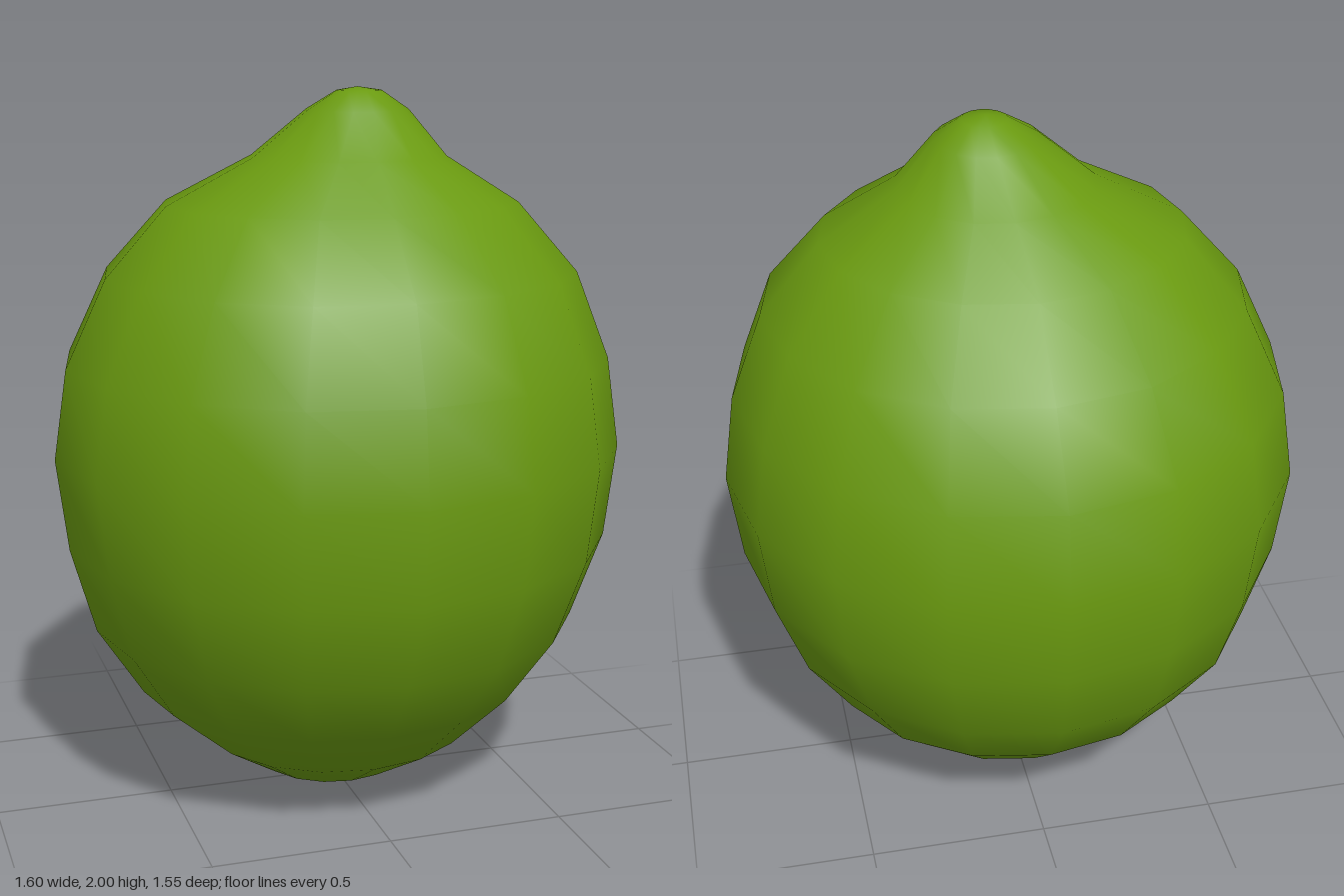
import * as THREE from 'three';

const SIDES = 16;

// Cross-sections from bottom to top: height, centre x, centre z, radius x, radius z
const RINGS = [
  [0.05, -0.015, 0.0, 0.205, 0.2],
  [0.15, 0.0, 0.0, 0.38, 0.36],
  [0.31, -0.01, -0.005, 0.56, 0.525],
  [0.51, -0.01, 0.0, 0.69, 0.67],
  [0.75, 0.0, 0.0, 0.768, 0.748],
  [1.01, 0.0, 0.0, 0.8, 0.773],
  [1.26, 0.0, 0.005, 0.763, 0.735],
  [1.5, 0.01, 0.01, 0.66, 0.625],
  [1.69, 0.012, 0.015, 0.493, 0.445],
  [1.815, 0.03, 0.025, 0.27, 0.255],
  [1.94, 0.05, 0.04, 0.14, 0.14],
  [1.99, 0.055, 0.04, 0.062, 0.062],
];

// Closed smooth skin through the cross-sections, with one point at each pole
function loft(rings, bottom, top) {
  const points = [...bottom];
  const faces = [];
  for (const [y, cx, cz, rx, rz] of rings) {
    for (let i = 0; i < SIDES; i++) {
      const a = (i / SIDES) * Math.PI * 2;
      points.push(cx + rx * Math.cos(a), y, cz + rz * Math.sin(a));
    }
  }
  points.push(...top);
  const at = (ring, i) => 1 + ring * SIDES + (i % SIDES);
  const last = rings.length - 1;
  const topIndex = 1 + rings.length * SIDES;
  for (let i = 0; i < SIDES; i++) {
    faces.push(0, at(0, i), at(0, i + 1));
    for (let r = 0; r < last; r++) {
      faces.push(at(r, i), at(r + 1, i), at(r + 1, i + 1));
      faces.push(at(r, i), at(r + 1, i + 1), at(r, i + 1));
    }
    faces.push(at(last, i), topIndex, at(last, i + 1));
  }
  const geometry = new THREE.BufferGeometry();
  geometry.setAttribute('position', new THREE.Float32BufferAttribute(points, 3));
  geometry.setIndex(faces);
  geometry.computeVertexNormals();
  return geometry;
}

export function createModel() {
  const model = new THREE.Group();
  model.name = 'lime';
  const limeGreen = new THREE.MeshStandardMaterial({ color: 0x6a9a10 });
  limeGreen.name = 'limeGreen';

  // Whole fruit with its slightly off-centre tip
  const fruit = new THREE.Mesh(loft(RINGS, [-0.04, 0, 0], [0.05, 2, 0.04]), limeGreen);
  fruit.name = 'fruit';
  model.add(fruit);
  return model;
}
